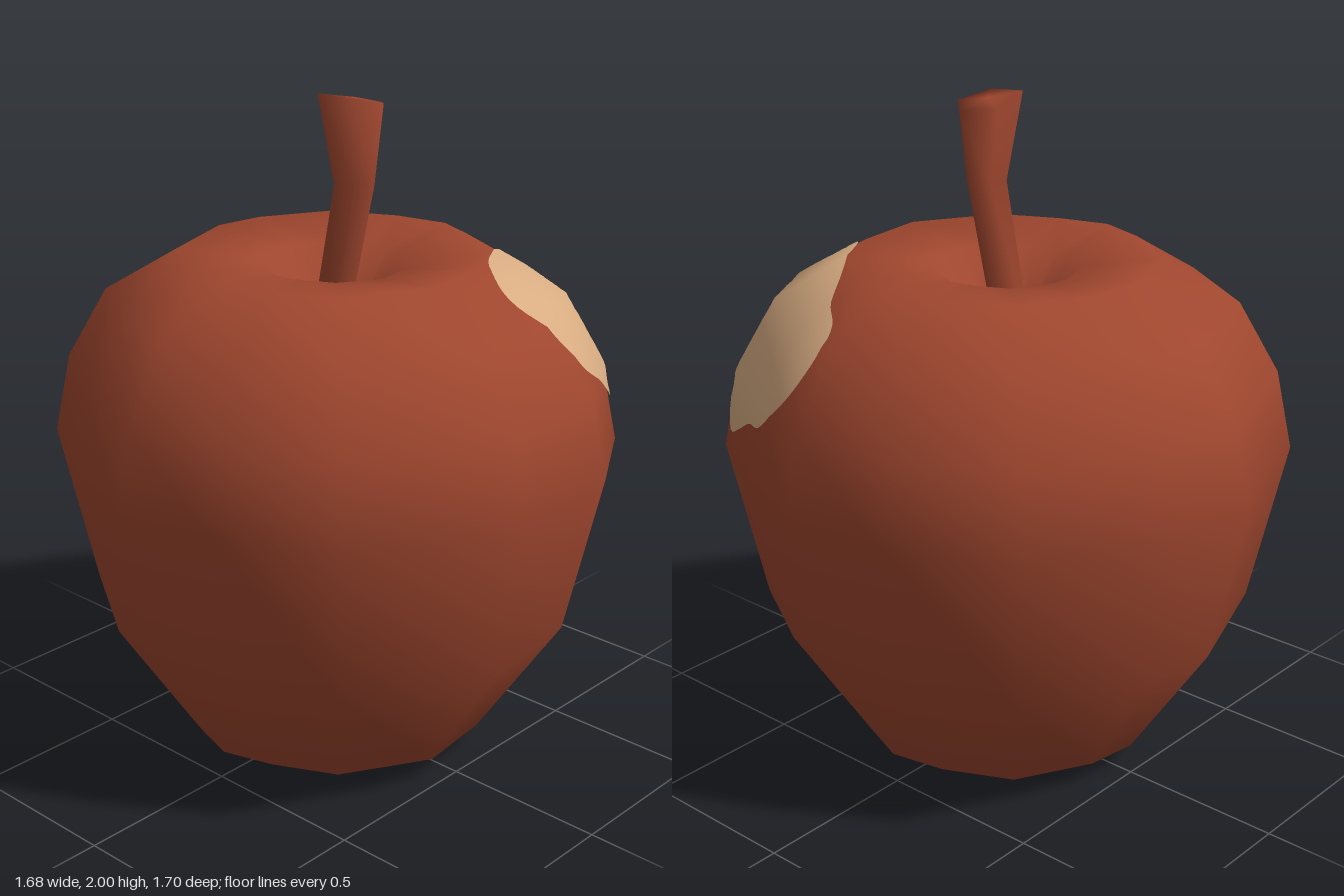
import * as THREE from 'three';

const skin = new THREE.MeshStandardMaterial({ color: 0xa0472f });
skin.name = 'red brown skin';
const flesh = new THREE.MeshStandardMaterial({ color: 0xd8ac82 });
flesh.name = 'pale flesh';

const V = (x, y, z) => new THREE.Vector3(x, y, z);

function indexed(points, index) {
  const g = new THREE.BufferGeometry().setFromPoints(points);
  g.setIndex(index);
  g.computeVertexNormals();
  return g;
}

// Skin over rings listed top to bottom (clockwise from above), closed by two end points
function loft(rings, top, bottom) {
  const n = rings[0].length, index = [];
  const points = [...rings.flat(), top, bottom];
  const T = points.length - 2, B = points.length - 1, last = (rings.length - 1) * n;
  for (let i = 0; i < n; i++) {
    const k = (i + 1) % n;
    index.push(T, k, i, B, last + i, last + k);
    for (let j = 0; j < last; j += n) {
      index.push(j + i, j + k, j + n + i, j + k, j + n + k, j + n + i);
    }
  }
  return indexed(points, index);
}

// Fruit: an uneven cross-section scaled along the profile, dimpled at both ends
function fruitGeometry() {
  const section = [
    [-0.84, 0.05], [-0.8, -0.23], [-0.59, -0.62], [-0.24, -0.79], [0.06, -0.85],
    [0.29, -0.76], [0.62, -0.57], [0.79, -0.28], [0.84, 0.15], [0.58, 0.6],
    [0.26, 0.76], [-0.02, 0.845], [-0.29, 0.76], [-0.67, 0.52],
  ];
  const profile = [
    [0.08, 1.32], [0.22, 1.5], [0.46, 1.53], [0.68, 1.4], [0.8, 1.19],
    [0.85, 0.95], [0.74, 0.46], [0.48, 0.07], [0.3, 0],
  ];
  const rings = profile.map(([r, y]) => section.map(([x, z]) => V(x * r / 0.85, y, z * r / 0.85)));
  return loft(rings, V(0, 1.28, 0), V(0, 0.05, 0));
}

// Bite patch: a thin sheet laid on the fruit inside a wavy outline
function patchGeometry(fruit) {
  const pos = fruit.attributes.position, nor = fruit.attributes.normal, idx = fruit.index;
  const get = (attr, i) => new THREE.Vector3().fromBufferAttribute(attr, idx.getX(i));
  const faces = [];
  for (let i = 0; i < idx.count; i += 3) {
    faces.push({
      p: [0, 1, 2].map((k) => get(pos, i + k)),
      n: [0, 1, 2].map((k) => get(nor, i + k)),
    });
  }
  const origin = V(0, 0.9, 0);
  const project = (p) => {
    const ray = new THREE.Ray(origin, p.clone().sub(origin).normalize());
    const hit = V(0, 0, 0), normal = V(0, 0, 0);
    for (const f of faces) {
      if (ray.intersectTriangle(...f.p, true, hit) || ray.intersectTriangle(...f.p, false, hit)) {
        THREE.Triangle.getInterpolation(hit, ...f.p, ...f.n, normal);
        normal.normalize();
        return { point: hit.addScaledVector(normal, 0.007), normal };
      }
    }
    return { point: p.clone(), normal: ray.direction.clone() };
  };

  const outline = new THREE.CatmullRomCurve3([
    V(0.08, 1.4, -0.66), V(0.11, 1.44, -0.6), V(0.2, 1.47, -0.52), V(0.28, 1.51, -0.4),
    V(0.35, 1.53, -0.29), V(0.42, 1.53, -0.19), V(0.5, 1.49, -0.135), V(0.57, 1.455, -0.13),
    V(0.64, 1.37, -0.18), V(0.69, 1.27, -0.28), V(0.68, 1.2, -0.4), V(0.65, 1.15, -0.48),
    V(0.62, 1.1, -0.55), V(0.57, 1.02, -0.6), V(0.5, 1.06, -0.66), V(0.4, 1.12, -0.71),
    V(0.3, 1.14, -0.745), V(0.2, 1.22, -0.75), V(0.12, 1.32, -0.71),
  ], true);
  const around = 72, steps = 18, centre = V(0.44, 1.33, -0.5);
  const border = outline.getSpacedPoints(around).slice(0, around);
  const samples = [project(centre)], index = [];
  for (let s = 1; s <= steps; s++) {
    for (const b of border) samples.push(project(centre.clone().lerp(b, s / steps)));
  }
  for (let i = 0; i < around; i++) {
    const k = (i + 1) % around;
    index.push(0, 1 + i, 1 + k);
    for (let s = 0; s < steps - 1; s++) {
      const a = 1 + s * around, b = a + around;
      index.push(a + i, b + i, b + k, a + i, b + k, a + k);
    }
  }
  const g = indexed(samples.map((s) => s.point), index);
  samples.forEach((s, i) => g.attributes.normal.setXYZ(i, s.normal.x, s.normal.y, s.normal.z));
  return g;
}

// Stem: five-sided, bent in the middle and flared towards a slanted tip
function stemGeometry() {
  const tip = [[0.08, -0.11], [0.14, -0.05], [0.1, 0.05], [0, 0.07], [-0.02, -0.06]];
  const levels = [
    // height, centre x, centre z, size, slant
    [1.98, 0.06, -0.02, 1, 0.22],
    [1.74, 0.07, -0.018, 0.62, 0],
    [1.25, -0.012, 0.012, 0.56, 0],
  ];
  const rings = levels.map(([y, cx, cz, s, slant]) => tip.map(([x, z]) =>
    V(cx + (x - 0.06) * s, y + (z + 0.02) * slant, cz + (z + 0.02) * s)));
  return loft(rings, V(0.06, 1.985, -0.02), V(-0.012, 1.25, 0.012));
}

export function createModel() {
  const model = new THREE.Group();
  model.name = 'apple';
  const add = (name, geometry, material) => {
    const mesh = new THREE.Mesh(geometry, material);
    mesh.name = name;
    model.add(mesh);
  };
  const fruit = fruitGeometry();
  add('fruit', fruit, skin);
  add('bitePatch', patchGeometry(fruit), flesh);
  add('stem', stemGeometry(), skin);
  return model;
}
